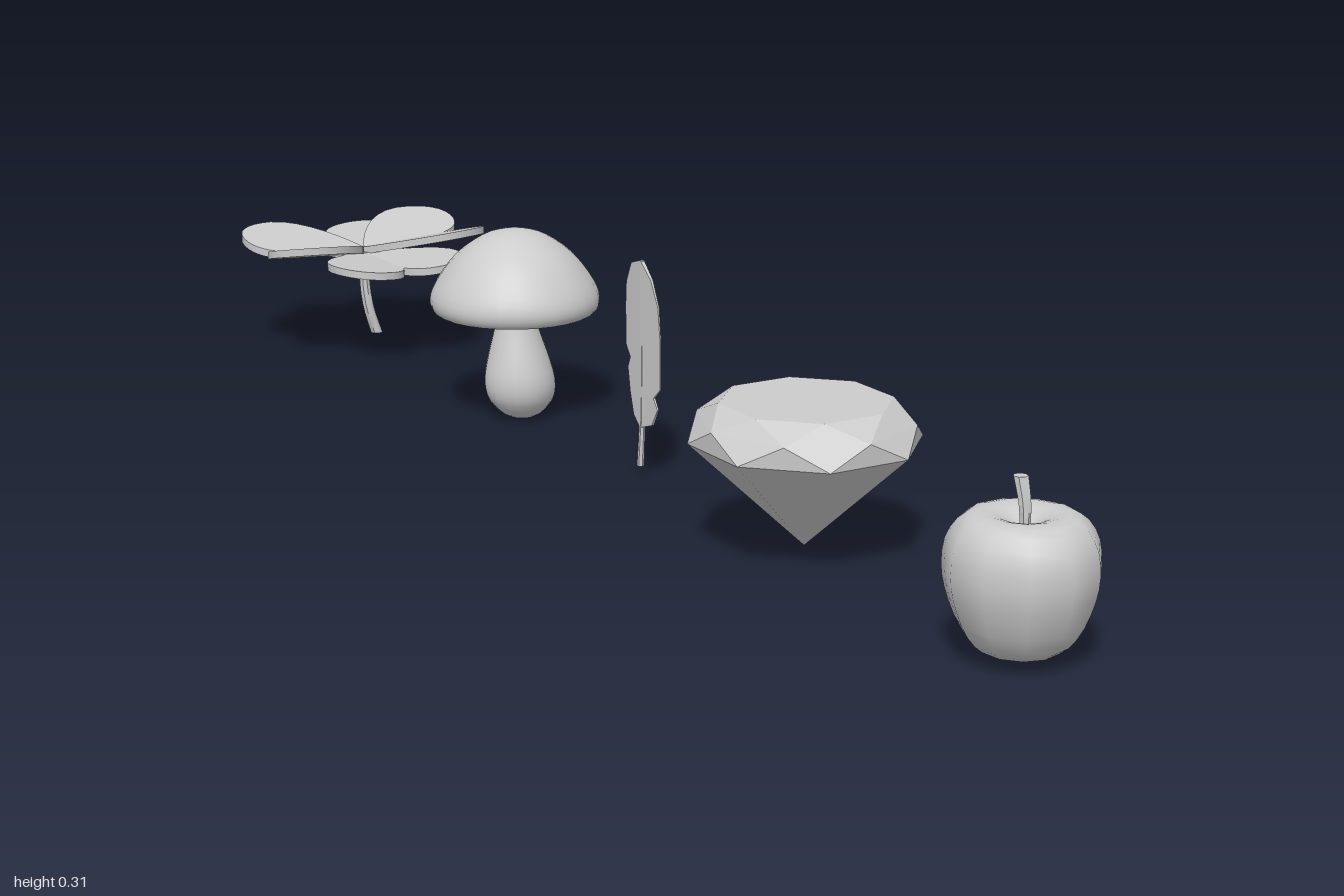
import * as THREE from 'three';
import { toCreasedNormals } from 'three/addons/utils/BufferGeometryUtils.js';

const material = new THREE.MeshStandardMaterial({ color: 0xcccccc, side: THREE.DoubleSide });
const V2 = (p) => new THREE.Vector2(p[0], p[1]);
const V3 = (p) => new THREE.Vector3(p[0], p[1], p[2]);

function add(group, name, geometry) {
  const mesh = new THREE.Mesh(geometry, material);
  mesh.name = name;
  group.add(mesh);
  return mesh;
}

function item(parent, name, x, z) {
  const group = new THREE.Group();
  group.name = name;
  group.position.set(x, 0, z);
  parent.add(group);
  return group;
}

// Smooth profile of [radius, height] points, spun around y
function spin(points, samples, sides) {
  const profile = new THREE.SplineCurve(points.map(V2)).getPoints(samples);
  profile.forEach((p) => { p.x = Math.max(p.x, 0); });
  return new THREE.LatheGeometry(profile, sides);
}

// Tapered round stalk along a curve, closed at both ends
function stalk(points, r0, r1, sides = 7, steps = 8) {
  const curve = new THREE.CatmullRomCurve3(points.map(V3));
  const geo = new THREE.CylinderGeometry(r1, r0, 1, sides, steps);
  const pos = geo.attributes.position;
  for (let i = 0; i < pos.count; i++) {
    const c = curve.getPoint(THREE.MathUtils.clamp(pos.getY(i) + 0.5, 0, 1));
    pos.setXYZ(i, c.x + pos.getX(i), c.y, c.z + pos.getZ(i));
  }
  return toCreasedNormals(geo, 0.9);
}

function apple(parent) {
  const g = item(parent, 'apple', 0.007, 0.903);
  add(g, 'appleBody', spin([[0, 0.03], [0.022, 0.022], [0.046, 0.016], [0.07, 0.04], [0.087, 0.08],
    [0.093, 0.115], [0.088, 0.15], [0.068, 0.176], [0.04, 0.179], [0.016, 0.168], [0, 0.155]], 24, 11));
  add(g, 'appleStem', stalk([[0, 0.155, 0.002], [0, 0.19, 0], [0, 0.222, -0.009]], 0.006, 0.009));
}

// Gem: staggered eight-sided rings joined by flat triangles
function gem(parent) {
  const g = item(parent, 'gem', 0.006, 0.46);
  const ring = (r, y, turn) => Array.from({ length: 8 }, (_, i) => {
    const a = (i + turn) * Math.PI / 4;
    return [r * Math.sin(a), y, r * Math.cos(a)];
  });
  const girdle = ring(0.152, 0.155, 0.5);
  const crown = ring(0.142, 0.184, 1);
  const table = ring(0.113, 0.207, 0.5);
  const tris = [];
  for (let i = 0; i < 8; i++) {
    const j = (i + 1) % 8;
    tris.push([0, 0.014, 0], girdle[j], girdle[i]);
    tris.push(girdle[i], girdle[j], crown[i]);
    tris.push(girdle[j], crown[j], crown[i]);
    tris.push(crown[i], table[j], table[i]);
    tris.push(crown[i], crown[j], table[j]);
    tris.push([0, 0.207, 0], table[i], table[j]);
  }
  const geo = new THREE.BufferGeometry().setFromPoints(tris.map(V3));
  geo.computeVertexNormals();
  add(g, 'gemStone', geo);
}

// Feather: two thin vanes with split edges, and a quill
function feather(parent) {
  const g = item(parent, 'feather', 0.006, 0.055);
  const edges = {
    leftVane: [[0, 0.07], [0.03, 0.08], [0.044, 0.105], [0.034, 0.12], [0.05, 0.135], [0.05, 0.2],
      [0.044, 0.25], [0.026, 0.285], [0, 0.308]],
    rightVane: [[0, 0.07], [-0.018, 0.085], [-0.028, 0.115], [-0.035, 0.15], [-0.028, 0.165],
      [-0.04, 0.18], [-0.042, 0.235], [-0.04, 0.27], [-0.026, 0.3], [0, 0.308]],
  };
  for (const [name, edge] of Object.entries(edges)) {
    const geo = new THREE.ExtrudeGeometry(new THREE.Shape(edge.map(V2)), { depth: 0.006, bevelEnabled: false });
    geo.translate(0, 0, -0.003).rotateY(-Math.PI / 2);
    // Thin the vane towards its outer edge
    const pos = geo.attributes.position;
    for (let i = 0; i < pos.count; i++) {
      pos.setX(i, pos.getX(i) * (1 - 14 * Math.abs(pos.getZ(i))));
    }
    geo.computeVertexNormals();
    add(g, name, geo);
  }
  add(g, 'quill', stalk([[0, 0.014, -0.003], [0, 0.07, 0.001], [0, 0.18, 0.003], [0, 0.308, 0]], 0.005, 0.0025, 6));
}

function mushroom(parent) {
  const g = item(parent, 'mushroom', 0.007, -0.314);
  add(g, 'mushroomCap', spin([[0, 0.19], [0.04, 0.186], [0.08, 0.17], [0.105, 0.158], [0.12, 0.161], [0.126, 0.178],
    [0.117, 0.204], [0.088, 0.243], [0.05, 0.271], [0.02, 0.281], [0, 0.283]], 30, 28));
  const stem = spin([[0, 0], [0.025, 0.005], [0.047, 0.027], [0.053, 0.055], [0.046, 0.09],
    [0.034, 0.13], [0.028, 0.16], [0.03, 0.19]], 18, 20);
  // Lean the stem so its foot sits forward
  const pos = stem.attributes.position;
  for (let i = 0; i < pos.count; i++) pos.setZ(i, pos.getZ(i) + 0.02 * (1 - pos.getY(i) / 0.17));
  add(g, 'mushroomStem', stem);
}

// Half of a heart-shaped leaf along +x, folded up from its midrib
function halfLeaf(side, fold, rise) {
  const shape = new THREE.Shape();
  shape.moveTo(0, 0);
  shape.bezierCurveTo(0.02, side * 0.05, 0.065, side * 0.113, 0.115, side * 0.111);
  shape.bezierCurveTo(0.152, side * 0.108, 0.186, side * 0.09, 0.186, side * 0.053);
  shape.bezierCurveTo(0.186, side * 0.02, 0.165, side * 0.006, 0.145, 0);
  shape.closePath();
  const geo = new THREE.ExtrudeGeometry(shape, { depth: 0.012, bevelEnabled: false, curveSegments: 7 });
  geo.rotateX(-Math.PI / 2);
  const pos = geo.attributes.position;
  for (let i = 0; i < pos.count; i++) {
    pos.setY(i, pos.getY(i) + fold * Math.abs(pos.getZ(i)) + rise * pos.getX(i));
  }
  return toCreasedNormals(geo, 0.7);
}

function clover(parent) {
  const g = item(parent, 'clover', -0.001, -0.815);
  for (let i = 0; i < 4; i++) {
    const leaf = new THREE.Group();
    leaf.name = 'cloverLeaf';
    leaf.rotation.y = i * Math.PI / 2;
    const upper = i % 2 === 0;
    leaf.position.y = upper ? 0.148 : 0.139;
    for (const side of [1, -1]) {
      add(leaf, 'leafHalf', halfLeaf(side, upper ? 0.24 : 0.1, upper ? 0.06 : 0.02));
    }
    g.add(leaf);
  }
  add(g, 'cloverStem', stalk([[0.02, 0.015, 0], [0.006, 0.06, 0], [0, 0.105, 0], [0, 0.152, 0]], 0.01, 0.008, 8));
}

export function createModel() {
  const model = new THREE.Group();
  model.name = 'charmSet';
  for (const build of [apple, gem, feather, mushroom, clover]) build(model);
  return model;
}
